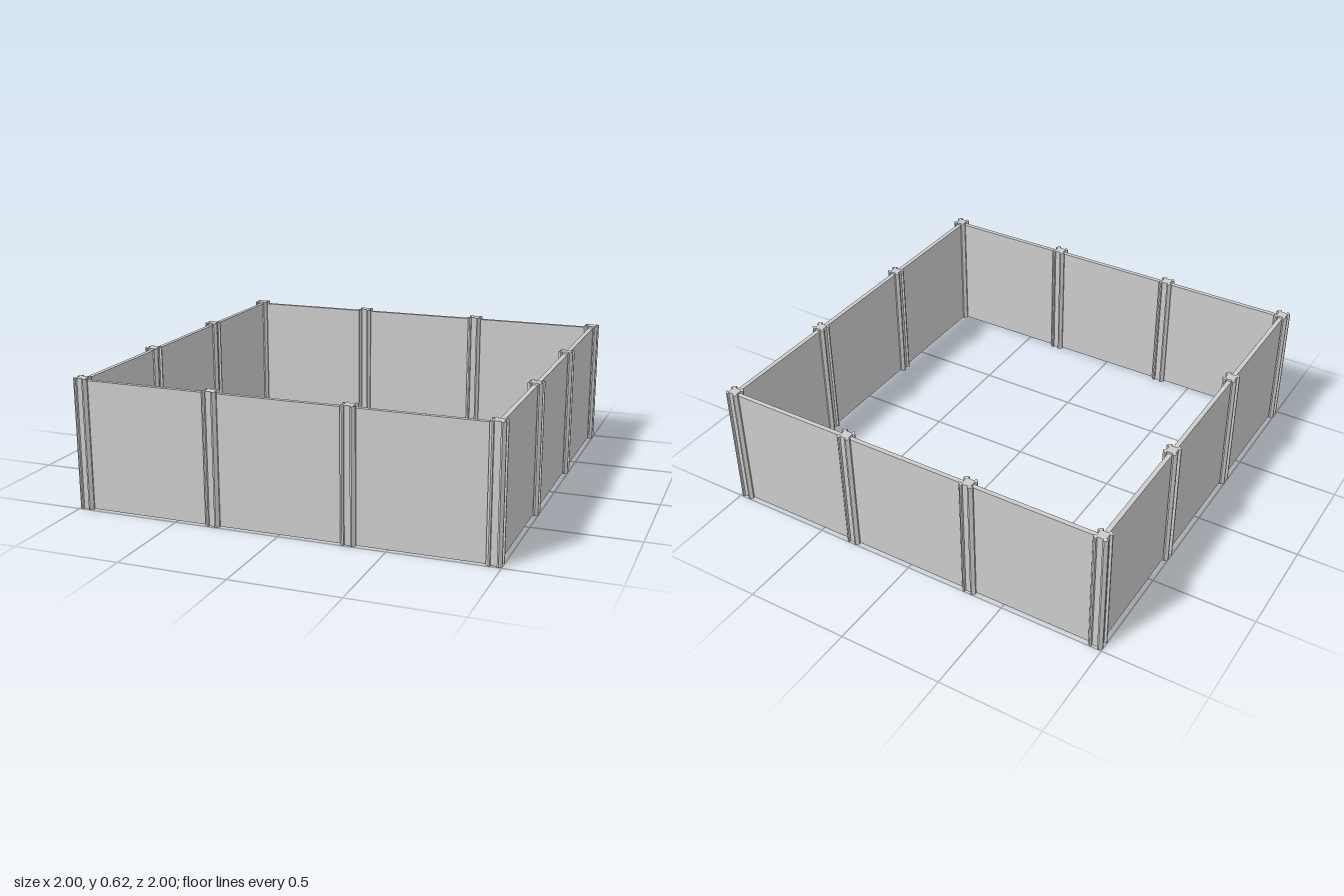
import * as THREE from 'three';

const EDGE = 0.965;        // centre line of the walls
const STEP = EDGE * 2 / 3; // post spacing
const POST_H = 0.62, PANEL_H = 0.61, PANEL_T = 0.022;
const HALF = 0.035, CHAMFER = 0.013, SLOT = 0.015, DEPTH = 0.012;

// Square post section with chamfered corners and a slot in every side
function postGeometry() {
  const side = [
    [HALF, -HALF + CHAMFER], [HALF, -SLOT], [HALF - DEPTH, -SLOT],
    [HALF - DEPTH, SLOT], [HALF, SLOT], [HALF, HALF - CHAMFER],
  ];
  const points = [];
  for (let i = 0; i < 4; i++) {
    for (const [x, y] of side) {
      points.push(new THREE.Vector2(x, y).rotateAround(new THREE.Vector2(), i * Math.PI / 2));
    }
  }
  const geometry = new THREE.ExtrudeGeometry(new THREE.Shape(points), { depth: POST_H, bevelEnabled: false });
  return geometry.rotateX(-Math.PI / 2);
}

export function createModel() {
  const fence = new THREE.Group();
  fence.name = 'fence';
  const material = new THREE.MeshStandardMaterial({ color: 0xcccccc, flatShading: true });
  const post = postGeometry();
  // Panels end at the bottom of the post slots
  const panel = new THREE.BoxGeometry(STEP - 2 * (HALF - DEPTH), PANEL_H, PANEL_T);

  // Four identical sides, each with three posts and three panels
  ['front', 'left', 'back', 'right'].forEach((name, s) => {
    const side = new THREE.Group();
    side.name = name + 'Side';
    side.rotation.y = s * Math.PI / 2;
    for (let i = 0; i < 3; i++) {
      const x = -EDGE + i * STEP;
      const postMesh = new THREE.Mesh(post, material);
      postMesh.name = i === 0 ? 'cornerPost' : 'middlePost';
      postMesh.position.set(x, 0, EDGE);
      const panelMesh = new THREE.Mesh(panel, material);
      panelMesh.name = 'panel';
      panelMesh.position.set(x + STEP / 2, PANEL_H / 2, EDGE);
      side.add(postMesh, panelMesh);
    }
    fence.add(side);
  });
  return fence;
}
